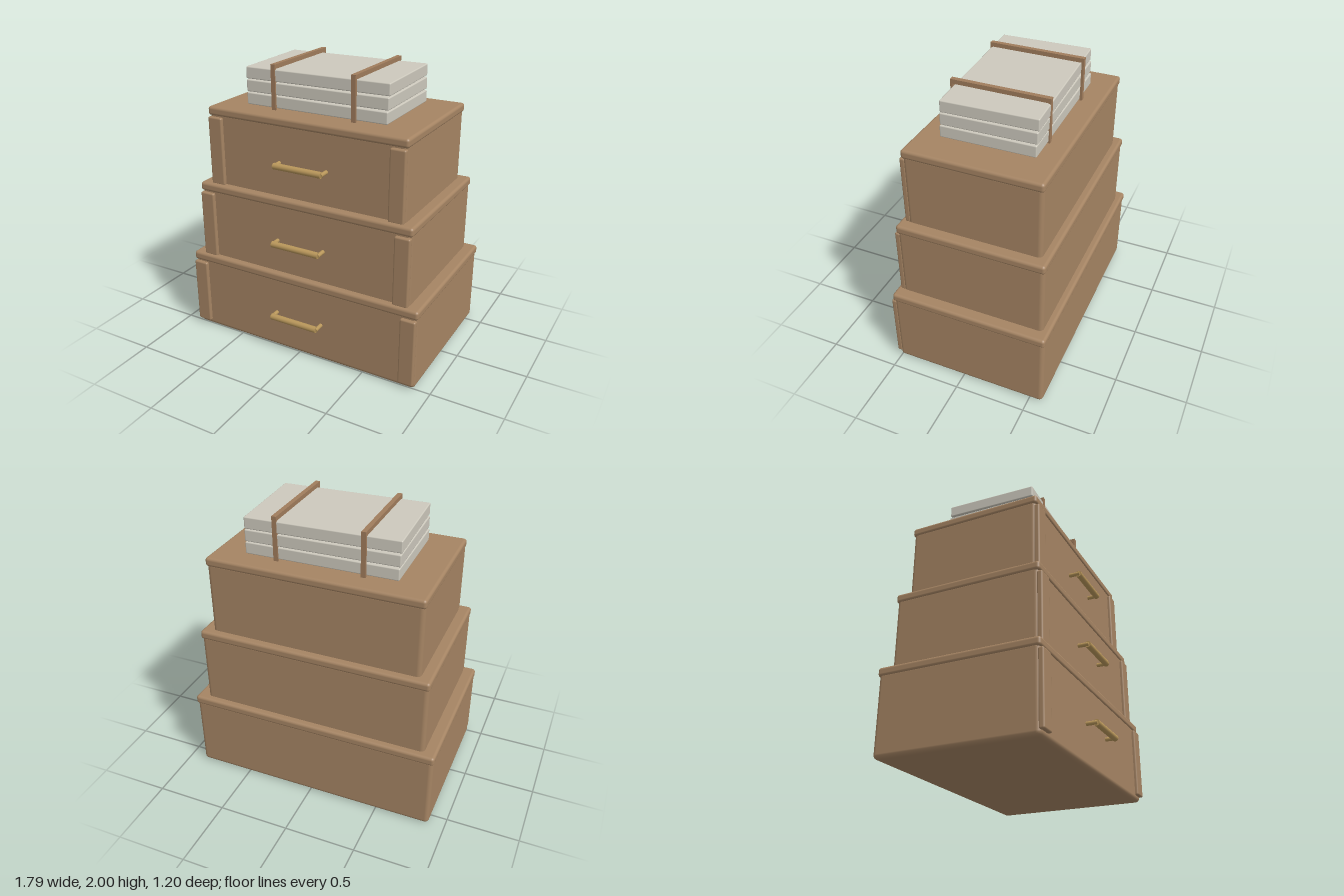
import * as THREE from 'three';
import { RoundedBoxGeometry } from 'three/addons/geometries/RoundedBoxGeometry.js';

const mat = (name, color) => {
  const m = new THREE.MeshStandardMaterial({ color });
  m.name = name;
  return m;
};

export function createModel() {
  const leather = mat('tan leather', 0xa58463);
  const brass = mat('brass', 0xb8965a);
  const paper = mat('paper', 0xccc8bc);
  const strapTan = mat('strap tan', 0xa07c5c);

  const model = new THREE.Group();
  model.name = 'stackedCases';

  const add = (parent, name, geometry, material, x, y, z) => {
    const mesh = new THREE.Mesh(geometry, material);
    mesh.name = name;
    mesh.position.set(x, y, z);
    parent.add(mesh);
    return mesh;
  };
  // Rounded box given by its extents
  const block = (parent, name, material, x0, x1, y0, y1, z0, z1, r) =>
    add(parent, name, new RoundedBoxGeometry(x1 - x0, y1 - y0, z1 - z0, 3, r), material,
      (x0 + x1) / 2, (y0 + y1) / 2, (z0 + z1) / 2);

  // Three cases, each smaller than the one below
  const tiers = [
    { name: 'bottomCase', half: 0.895, front: 0.515, back: -0.6 },
    { name: 'middleCase', half: 0.82, front: 0.478, back: -0.56 },
    { name: 'topCase', half: 0.75, front: 0.43, back: -0.515 },
  ];
  tiers.forEach(({ name, half, front, back }, i) => {
    const tier = new THREE.Group();
    tier.name = name;
    tier.position.y = i * 0.55;
    model.add(tier);

    block(tier, 'caseBody', leather, -half + 0.007, half - 0.007, 0, 0.56, back + 0.006, front - 0.004, 0.03);
    block(tier, 'lid', leather, -half, half, 0.53, 0.593, back, front + 0.004, 0.02);

    for (const side of [-1, 1]) {
      // Raised plate on each front corner
      const plate = new RoundedBoxGeometry(0.11, 0.49, 0.04, 2, 0.012);
      add(tier, 'cornerPlate', plate, leather, side * (half - 0.065), 0.28, front);
      // Handle standoff
      const post = new THREE.CylinderGeometry(0.014, 0.014, 0.085, 16).rotateX(Math.PI / 2);
      add(tier, 'handlePost', post, brass, side * 0.179, 0.28, front + 0.0285);
    }
    const bar = new THREE.CylinderGeometry(0.022, 0.022, 0.36, 20).rotateZ(Math.PI / 2);
    add(tier, 'handleBar', bar, brass, 0, 0.28, front + 0.063);
  });

  // Slightly twisted bundle of paper packets
  const bundle = new THREE.Group();
  bundle.name = 'paperBundle';
  model.add(bundle);
  [0.012, 0.024, 0.036].forEach((turn, i) => {
    const packet = new RoundedBoxGeometry(1.05, 0.082, 0.645, 2, 0.008);
    add(bundle, 'paperPacket', packet, paper, 0, 1.745 + i * 0.09, -0.045).rotation.y = turn;
  });

  // Two straps over the bundle
  for (const x of [-0.3, 0.3]) {
    const strap = new THREE.Group();
    strap.name = 'strap';
    bundle.add(strap);
    add(strap, 'strapTop', new THREE.BoxGeometry(0.032, 0.03, 0.675), strapTan, x, 1.985, -0.043);
    for (const z of [0.286, -0.372]) {
      add(strap, 'strapLeg', new THREE.BoxGeometry(0.032, 0.285, 0.016), strapTan, x, 1.8325, z);
    }
  }
  return model;
}
